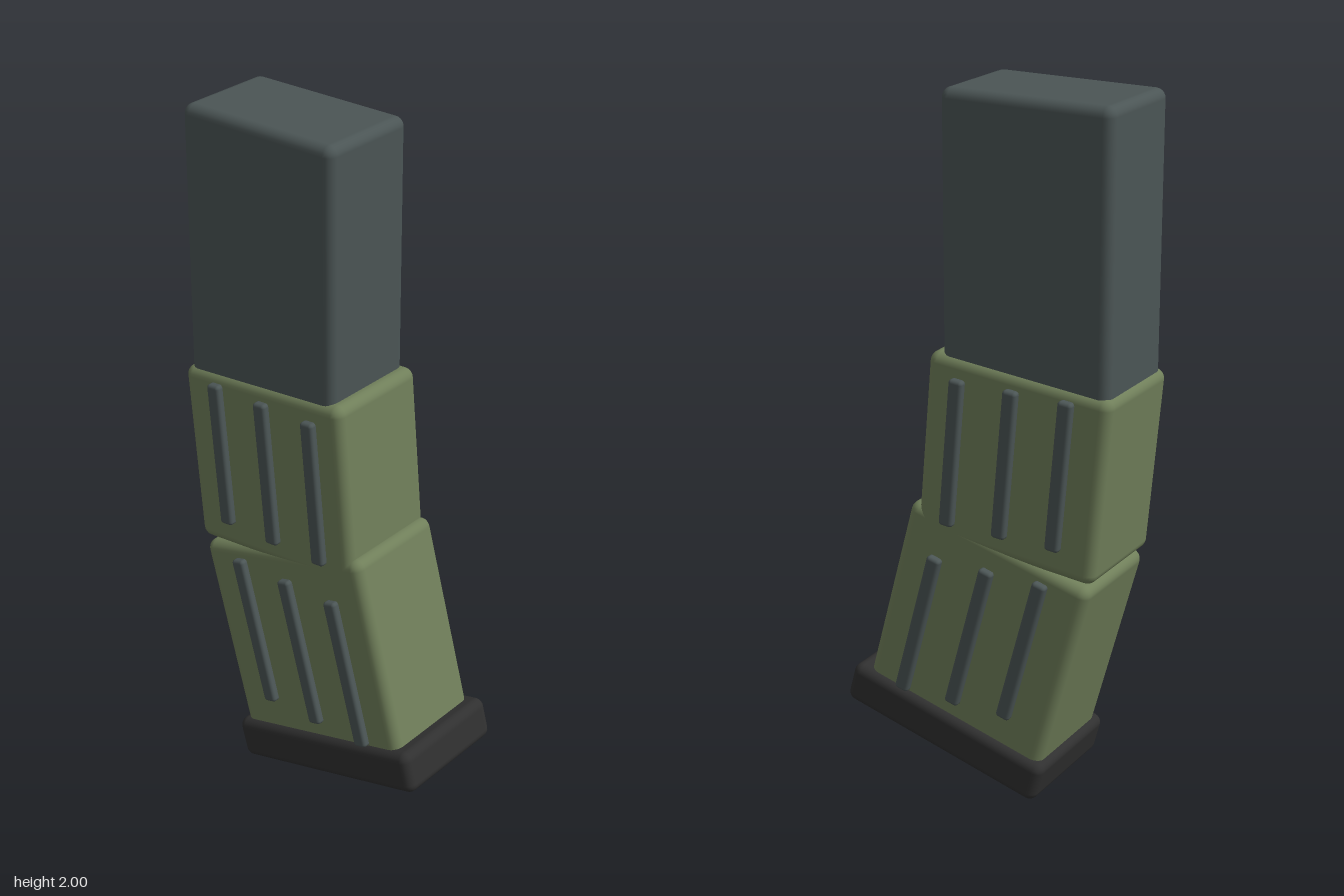
import * as THREE from 'three';
import { RoundedBoxGeometry } from 'three/addons/geometries/RoundedBoxGeometry.js';

const steel = new THREE.MeshStandardMaterial({ name: 'grey steel', color: 0x4b5555 });
const olive = new THREE.MeshStandardMaterial({ name: 'olive green', color: 0x707f5a });
const black = new THREE.MeshStandardMaterial({ name: 'black rubber', color: 0x303030 });

// Rounded block centred at (x, y, z), its top leaning back by `tilt` degrees
function block(name, material, [w, h, d], [x, y, z], tilt, radius) {
  const mesh = new THREE.Mesh(new RoundedBoxGeometry(w, h, d, 3, radius), material);
  mesh.name = name;
  mesh.position.set(x, y, z);
  mesh.rotation.x = -THREE.MathUtils.degToRad(tilt);
  return mesh;
}

// Three raised ribs on each side of a body section
function ribs(name, length, y, zs, tilt) {
  const group = new THREE.Group();
  group.name = name;
  for (const side of [-1, 1]) {
    for (const z of zs) {
      group.add(block('rib', steel, [0.04, length, 0.043], [side * 0.169, y, z], tilt, 0.01));
    }
  }
  return group;
}

export function createModel() {
  const model = new THREE.Group();
  model.name = 'curvedMagazine';

  // Straight metal upper section
  model.add(block('upperSection', steel, [0.31, 0.9, 0.51], [0, 1.55, -0.147], 0, 0.028));

  // Two leaning grip sections
  model.add(block('middleSection', olive, [0.336, 0.54, 0.562], [0, 0.99, -0.114], 5, 0.03));
  model.add(block('lowerSection', olive, [0.336, 0.64, 0.588], [0, 0.448, 0.005], 15, 0.03));

  // Side ribs
  model.add(ribs('middleRibs', 0.434, 1.003, [0.063, -0.105, -0.273], 5));
  model.add(ribs('lowerRibs', 0.455, 0.46, [0.18, 0.011, -0.159], 15));

  // Base plate
  model.add(block('basePlate', black, [0.378, 0.125, 0.655], [0, 0.139, 0.1], 15, 0.027));

  return model;
}
